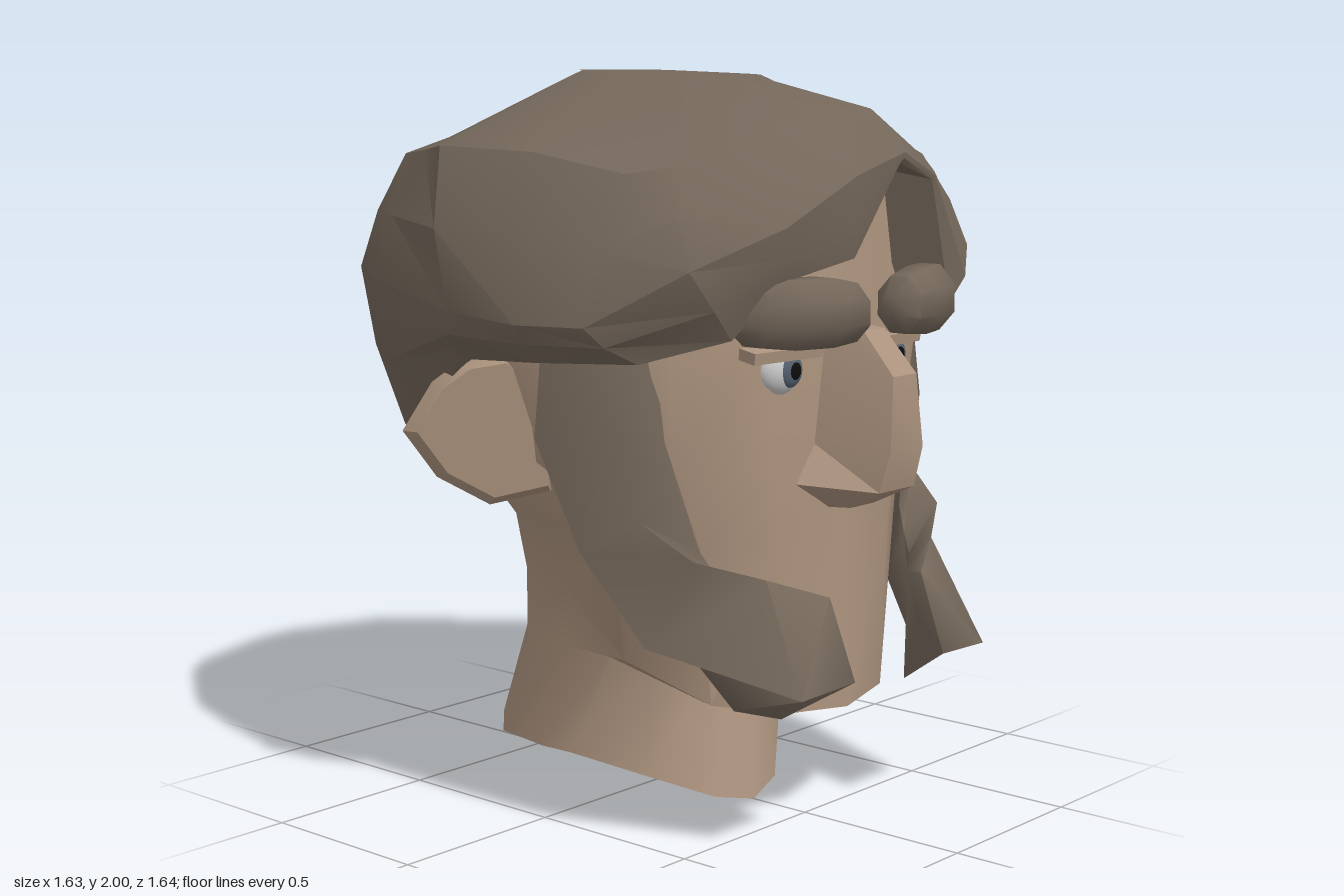
import * as THREE from 'three';
import { toCreasedNormals } from 'three/addons/utils/BufferGeometryUtils.js';

const mat = (color) => new THREE.MeshStandardMaterial({ color, side: THREE.DoubleSide });
const skin = mat(0xac937e), hair = mat(0x74675a), white = mat(0xcccccc), iris = mat(0x53606e), black = mat(0x0c0c0c);

// Surface through closed rings of points, optionally capped, always facing outward
function loft(rings, { capStart = true, capEnd = true, crease = 0.5 } = {}) {
  const n = rings[0].length, pts = rings.flat(), idx = [];
  for (let r = 0; r < rings.length - 1; r++) {
    for (let i = 0; i < n; i++) {
      const a = r * n + i, b = r * n + (i + 1) % n;
      idx.push(a, b, a + n, b, b + n, a + n);
    }
  }
  const cap = (ring, start, flip) => {
    const c = pts.length;
    pts.push([0, 1, 2].map((k) => ring.reduce((s, p) => s + p[k], 0) / n));
    for (let i = 0; i < n; i++) {
      const a = start + i, b = start + (i + 1) % n;
      idx.push(c, ...(flip ? [b, a] : [a, b]));
    }
  };
  if (capStart) cap(rings[0], 0, true);
  if (capEnd) cap(rings.at(-1), (rings.length - 1) * n, false);
  const v = pts.map((p) => new THREE.Vector3(...p));
  let volume = 0;
  for (let i = 0; i < idx.length; i += 3) {
    volume += v[idx[i]].dot(v[idx[i + 1]].clone().cross(v[idx[i + 2]]));
  }
  if (volume < 0) idx.reverse();
  const g = new THREE.BufferGeometry();
  g.setAttribute('position', new THREE.Float32BufferAttribute(pts.flat(), 3));
  g.setIndex(idx);
  return toCreasedNormals(g, crease);
}

const flipX = ([x, y, z]) => [-x, y, z];
// Completes a half ring that starts and ends on the centre plane
const mirrorRing = (half) => [...half, ...half.slice(1, -1).reverse().map(flipX)];

function add(parent, name, geometry, material) {
  const mesh = new THREE.Mesh(geometry, material);
  mesh.name = name;
  parent.add(mesh);
  return mesh;
}

// Skull, jaw and open-bottomed neck; half rings run front to back
function headGeometry() {
  const level = (y, xz) => xz.map(([x, z]) => [x, y, z]);
  const rings = [
    level(1.79, [[0, .57], [.25, .54], [.42, .4], [.52, .2], [.55, -.05], [.5, -.3], [.3, -.5], [0, -.55]]),
    level(1.35, [[0, .62], [.28, .58], [.52, .48], [.62, .3], [.66, 0], [.6, -.3], [.4, -.52], [0, -.6]]),
    level(1.0, [[0, .62], [.26, .59], [.48, .46], [.6, .3], [.61, 0], [.5, -.3], [.3, -.5], [0, -.6]]),
    level(.8, [[0, .62], [.22, .6], [.42, .48], [.53, .28], [.47, 0], [.4, -.2], [.23, -.36], [0, -.4]]),
    [[0, .325, .64], [.2, .34, .6], [.36, .37, .47], [.42, .46, .22], [.41, .62, 0], [.36, .64, -.2], [.205, .64, -.35], [0, .64, -.39]],
    [[0, .33, .23], [.12, .34, .23], [.28, .4, .2], [.39, .45, .14], [.4, .46, 0], [.36, .48, -.2], [.2, .48, -.34], [0, .48, -.385]],
    [[0, 0, .32], [.13, .03, .29], [.28, .1, .17], [.4, .16, 0], [.405, .16, -.1], [.36, .155, -.3], [.2, .15, -.46], [0, .14, -.5]],
  ];
  return loft(rings.map(mirrorRing), { capEnd: false, crease: 0.75 });
}

// Hair cap: symmetric back and sides, fringe parted on the left (+x)
function hairGeometry() {
  const ring = (side, fringe) => [...side, ...fringe, ...side.toReversed().map(flipX)];
  const crown = ring(
    [[.08, 1.77, -.71], [.42, 1.77, -.6], [.59, 1.79, -.34], [.72, 1.81, -.14], [.68, 1.8, .15], [.61, 1.75, .4]],
    [[.5, 1.77, .5], [.36, 1.8, .55], [.15, 1.9, .58], [-.12, 1.9, .58], [-.32, 1.84, .56], [-.52, 1.77, .5]]);
  const middle = ring(
    [[.08, 1.45, -.82], [.54, 1.46, -.66], [.71, 1.45, -.41], [.815, 1.4, -.02], [.8, 1.38, .2], [.74, 1.38, .38]],
    [[.58, 1.52, .6], [.36, 1.73, .64], [.14, 1.79, .7], [-.1, 1.74, .73], [-.36, 1.62, .71], [-.6, 1.52, .6]]);
  const low = ring(
    [[.08, 1.24, -.79], [.5, 1.24, -.65], [.7, 1.24, -.37], [.805, 1.34, -.03], [.78, 1.33, .2], [.7, 1.33, .41]],
    [[.5, 1.44, .65], [.35, 1.72, .65], [.135, 1.775, .7], [-.1, 1.63, .73], [-.35, 1.54, .69], [-.53, 1.42, .62]]);
  const rim = ring(
    [[.08, 1.01, -.67], [.44, 1.01, -.6], [.65, 1.03, -.27], [.74, 1.27, -.06], [.73, 1.28, .2], [.62, 1.285, .45]],
    [[.44, 1.37, .64], [.335, 1.71, .65], [.13, 1.76, .69], [-.1, 1.53, .72], [-.33, 1.48, .67], [-.44, 1.34, .6]]);
  // Sides bulge halfway between crown and widest ring
  const upper = crown.map(([x, y, z], i) => {
    const [mx, my, mz] = middle[i];
    return [(x + mx) * .522, (y + my) / 2, (z + mz) / 2];
  });
  const top = crown.map(([x, , z]) => {
    const tz = -.15 + (z + .15) * .58;
    return [x * .25, tz < -.2 ? 2 + .48 * (tz + .2) : 2 - .03 * (tz + .2), tz];
  });
  const peak = top.map(([x, , z]) => [x * .8, 2, -.2 + (z + .2) * .08]);
  const inner = rim.map(([x, y, z]) => [x * .8, y + .03, z * .8]);
  return loft([peak, top, crown, upper, middle, low, rim, inner], { capEnd: false, crease: 0.5 });
}

// Sideburn: four-cornered sections (inner front, outer front, outer back, inner back)
const sideburnRings = [
  [[.53, 1.34, .42], [.6, 1.34, .4], [.65, 1.34, .15], [.55, 1.34, .15]],
  [[.52, 1.08, .45], [.62, 1.08, .42], [.69, 1.08, .16], [.56, 1.08, .18]],
  [[.43, .79, .49], [.58, .88, .42], [.64, .79, .27], [.5, .78, .28]],
  [[.4, .72, .53], [.53, .79, .55], [.585, .56, .44], [.46, .57, .43]],
  [[.34, .68, .59], [.36, .73, .65], [.4, .45, .8], [.4, .385, .58]],
  [[.21, .665, .68], [.2, .67, .73], [.195, .46, .81], [.27, .345, .63]],
];

// Nose sections: base half-width, base y, base z, ridge half-width, ridge y, ridge z
const noseRings = [
  [.075, 1.35, .58, .045, 1.34, .71],
  [.095, 1.22, .58, .05, 1.23, .81],
  [.115, 1.06, .58, .07, 1.04, .82],
  [.18, .945, .6, .075, .93, .79],
  [.06, .87, .6, .05, .875, .68],
].map(([bx, by, bz, rx, ry, rz]) => [[bx, by, bz], [rx, ry, rz], [-rx, ry, rz], [-bx, by, bz]]);

// Eyebrow: octagonal sections wrapping around the brow
function browGeometry(s) {
  const sections = [
    [.075, 1.385, .705, .035], [.11, 1.395, .71, .075], [.2, 1.4, .7, .088],
    [.31, 1.4, .665, .088], [.38, 1.395, .615, .075], [.415, 1.39, .59, .035],
  ];
  return loft(sections.map(([x, y, z, r]) => Array.from({ length: 8 }, (_, i) => {
    const a = (i + .5) * Math.PI / 4;
    return [s * x, y + r * 1.08 * Math.sin(a), z + r * Math.cos(a)];
  })), { crease: 0.9 });
}

// Ear outline in its own plane: distance back from the root, height
const earOutline = [[0, .92], [0, 1.19], [.12, 1.28], [.23, 1.26], [.31, 1.2], [.39, 1.07], [.3, .95], [.16, .88]];

// Flat-faced ear growing out of the head, flaring outward and back, with a chamfered rim
function earGeometry(s) {
  const place = ([u, y], depth) => [s * (.59 + .56 * u - .83 * depth), y, .11 - .83 * u - .56 * depth];
  const inset = ([u, y], k) => [u * k, 1.08 + (y - 1.08) * k];
  return loft([[.88, 0], [1, .03], [1, .06], [.75, .1]]
    .map(([k, depth]) => earOutline.map((p) => place(inset(p, k), depth))), { crease: 0.4 });
}

function createEye(s) {
  const eye = new THREE.Group();
  eye.name = s > 0 ? 'leftEye' : 'rightEye';
  const ball = (name, r, depth, z, x, material) => {
    const m = add(eye, name, new THREE.SphereGeometry(r, 24, 16), material);
    m.scale.z = depth / r;
    m.position.set(x, 0, z);
  };
  ball('eyeball', .068, .05, 0, 0, white);
  ball('iris', .044, .02, .036, .01, iris);
  ball('pupil', .026, .012, .047, .012, black);
  eye.position.set(s * .225, 1.245, .57);
  return eye;
}

export function createModel() {
  const model = new THREE.Group();
  model.name = 'head';
  add(model, 'faceAndNeck', headGeometry(), skin);
  add(model, 'hair', hairGeometry(), hair);
  add(model, 'nose', loft(noseRings, { crease: 0.4 }), skin);

  for (const s of [1, -1]) {
    const side = s > 0 ? 'left' : 'right';
    const burn = s > 0 ? sideburnRings : sideburnRings.map((r) => r.map(flipX));
    add(model, side + 'Sideburn', loft(burn, { crease: 1.4 }), hair);
    add(model, side + 'Ear', earGeometry(s), skin);
    add(model, side + 'Eyebrow', browGeometry(s), hair);
    model.add(createEye(s));

    const lid = add(model, side + 'Eyelid', new THREE.BoxGeometry(.24, .03, .1), skin);
    lid.position.set(s * .23, 1.295, .575);
    lid.rotation.set(.15, s * .15, -s * .04);
  }
  return model;
}
